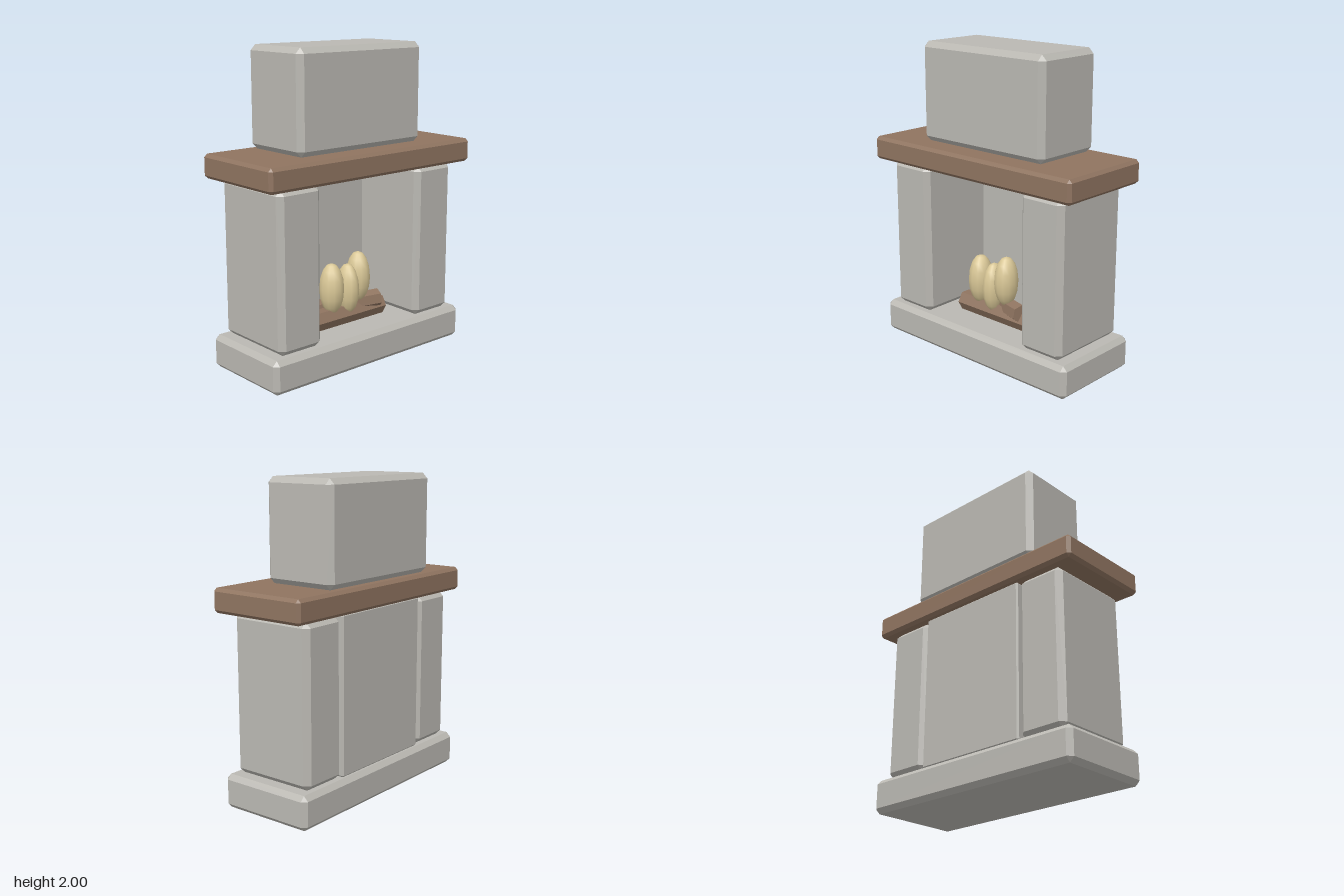
import * as THREE from 'three';
import { ConvexGeometry } from 'three/addons/geometries/ConvexGeometry.js';

// Box between two corners with every edge and corner cut by c
function chamferBox(min, max, c) {
  const size = max.map((v, i) => (v - min[i]) / 2);
  const mid = max.map((v, i) => (v + min[i]) / 2);
  const points = [];
  for (const sx of [-1, 1]) for (const sy of [-1, 1]) for (const sz of [-1, 1]) {
    for (let full = 0; full < 3; full++) {
      const p = [sx, sy, sz].map((s, i) => mid[i] + s * (size[i] - (i === full ? 0 : c)));
      points.push(new THREE.Vector3(...p));
    }
  }
  return new ConvexGeometry(points);
}

export function createModel() {
  const model = new THREE.Group();
  model.name = 'fireplace';

  const material = (name, color) => {
    const m = new THREE.MeshStandardMaterial({ color });
    m.name = name;
    return m;
  };
  const stone = material('stone', 0xbab8b2);
  const wood = material('wood', 0x8f7460);
  const fire = material('flame', 0xdac897);
  const barkWood = wood.clone();
  barkWood.name = 'log wood';
  barkWood.flatShading = true;

  const add = (name, geometry, mat, parent = model) => {
    const mesh = new THREE.Mesh(geometry, mat);
    mesh.name = name;
    parent.add(mesh);
    return mesh;
  };

  // Masonry and mantel
  add('hearth', chamferBox([-0.785, 0, -0.335], [0.785, 0.215, 0.31], 0.03), stone);
  add('leftPillar', chamferBox([0.395, 0.215, -0.3], [0.715, 1.215, 0.275], 0.035), stone);
  add('rightPillar', chamferBox([-0.715, 0.215, -0.3], [-0.395, 1.215, 0.275], 0.035), stone);
  add('backPanel', chamferBox([-0.39, 0.215, -0.3], [0.39, 1.215, -0.23], 0.01), stone);
  add('mantel', chamferBox([-0.82, 1.215, -0.335], [0.82, 1.365, 0.335], 0.02), wood);
  add('chimney', chamferBox([-0.5, 1.365, -0.3], [0.5, 2, 0.2], 0.035), stone);

  // Six-sided logs laid between two end points
  const logs = new THREE.Group();
  logs.name = 'logs';
  model.add(logs);
  const addLog = (name, from, to, radius) => {
    const a = new THREE.Vector3(...from), b = new THREE.Vector3(...to);
    const axis = b.clone().sub(a);
    const log = add(name, new THREE.CylinderGeometry(radius, radius, axis.length(), 6), barkWood, logs);
    log.position.copy(a.add(b).multiplyScalar(0.5));
    log.quaternion.setFromUnitVectors(new THREE.Vector3(0, 1, 0), axis.normalize());
  };
  addLog('frontLog', [-0.29, 0.275, 0.04], [0.29, 0.275, 0.04], 0.068);
  addLog('crossedLog', [-0.25, 0.305, -0.09], [0.245, 0.333, 0.08], 0.06);

  // Tall rounded flames
  const flames = new THREE.Group();
  flames.name = 'flames';
  model.add(flames);
  const flameShapes = [
    ['rightFlame', -0.135, 0.468, 0.078],
    ['middleFlame', -0.008, 0.445, 0.066],
    ['leftFlame', 0.09, 0.507, 0.075],
  ];
  for (const [name, x, y, rx] of flameShapes) {
    const flame = add(name, new THREE.SphereGeometry(1, 12, 8), fire, flames);
    flame.scale.set(rx, 0.166, 0.086);
    flame.position.set(x, y, 0.05);
  }
  flames.children[1].position.z = 0.06;

  return model;
}
